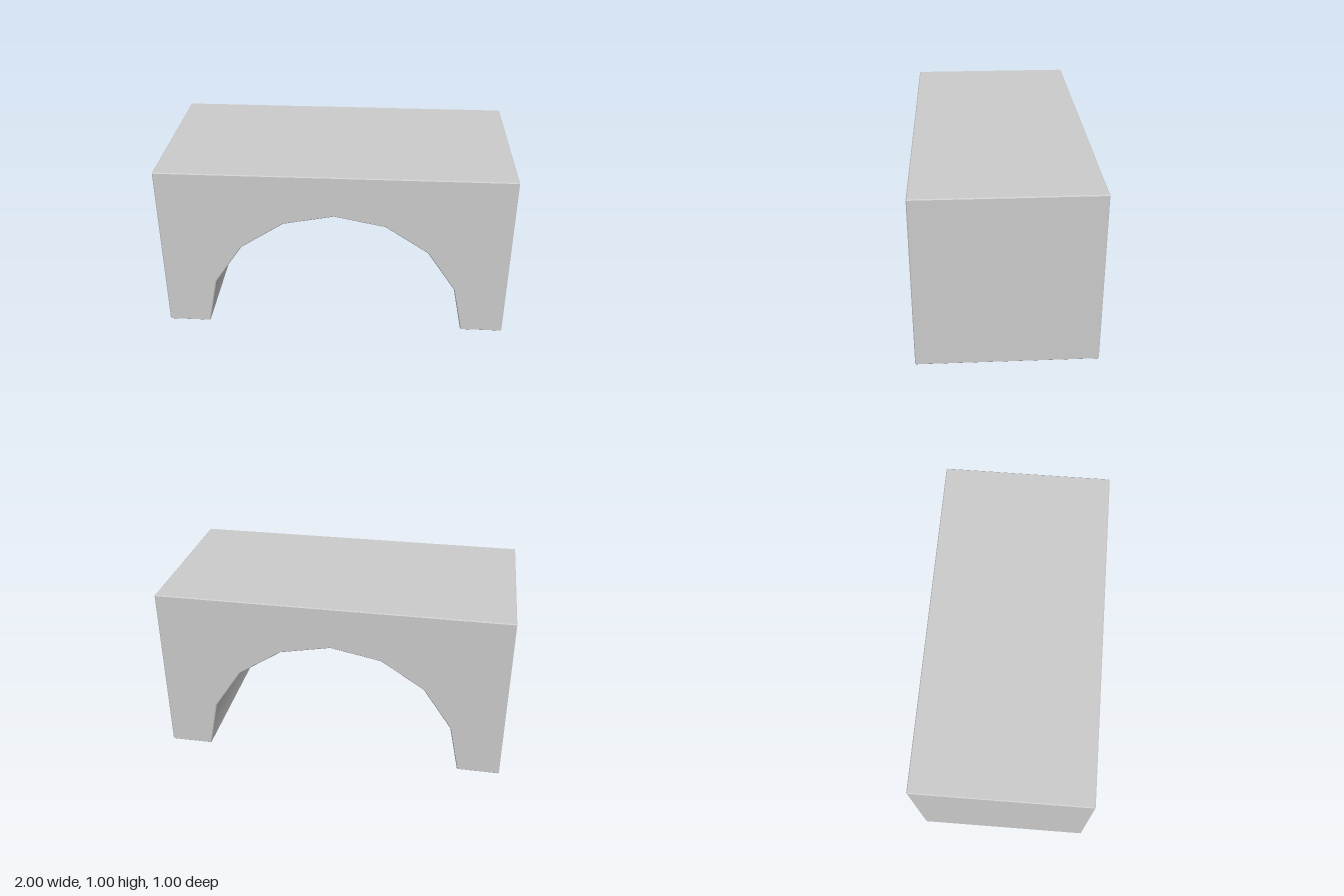
import * as THREE from 'three';
import { toCreasedNormals } from 'three/addons/utils/BufferGeometryUtils.js';

const HALF_WIDTH = 1, HEIGHT = 1, DEPTH = 1;
const ARCH_RADIUS = 0.755, ARCH_SIDES = 8;
const EDGE = 0.005; // small chamfer on every outer edge

// Outline of the block with the arched opening, counter-clockwise
function archOutline() {
  const w = HALF_WIDTH, h = HEIGHT, r = ARCH_RADIUS, e = EDGE;
  const points = [
    [r + e, 0], [w - e, 0], [w, e],
    [w, h - e], [w - e, h],
    [-w + e, h], [-w, h - e],
    [-w, e], [-w + e, 0], [-r - e, 0],
    [-r + 0.001, e],
  ];
  // Underside of the arch, left to right
  for (let i = 1; i < ARCH_SIDES; i++) {
    const a = Math.PI * (1 - i / ARCH_SIDES);
    points.push([r * Math.cos(a), r * Math.sin(a)]);
  }
  points.push([r - 0.001, e]);
  return new THREE.Shape(points.map(([x, y]) => new THREE.Vector2(x, y)));
}

export function createModel() {
  const group = new THREE.Group();
  group.name = 'archBlock';

  // Solid bridge block, chamfered towards the front and back faces
  const geometry = new THREE.ExtrudeGeometry(archOutline(), {
    depth: DEPTH - 2 * EDGE,
    bevelEnabled: true,
    bevelSegments: 1,
    bevelSize: EDGE,
    bevelThickness: EDGE,
    bevelOffset: -EDGE,
  });
  geometry.translate(0, 0, -DEPTH / 2 + EDGE);

  // Smooth the arch underside, keep the block edges sharp
  const bridge = new THREE.Mesh(
    toCreasedNormals(geometry, THREE.MathUtils.degToRad(30)),
    new THREE.MeshStandardMaterial({ color: 0xcccccc }),
  );
  bridge.name = 'archBridge';
  group.add(bridge);
  return group;
}
